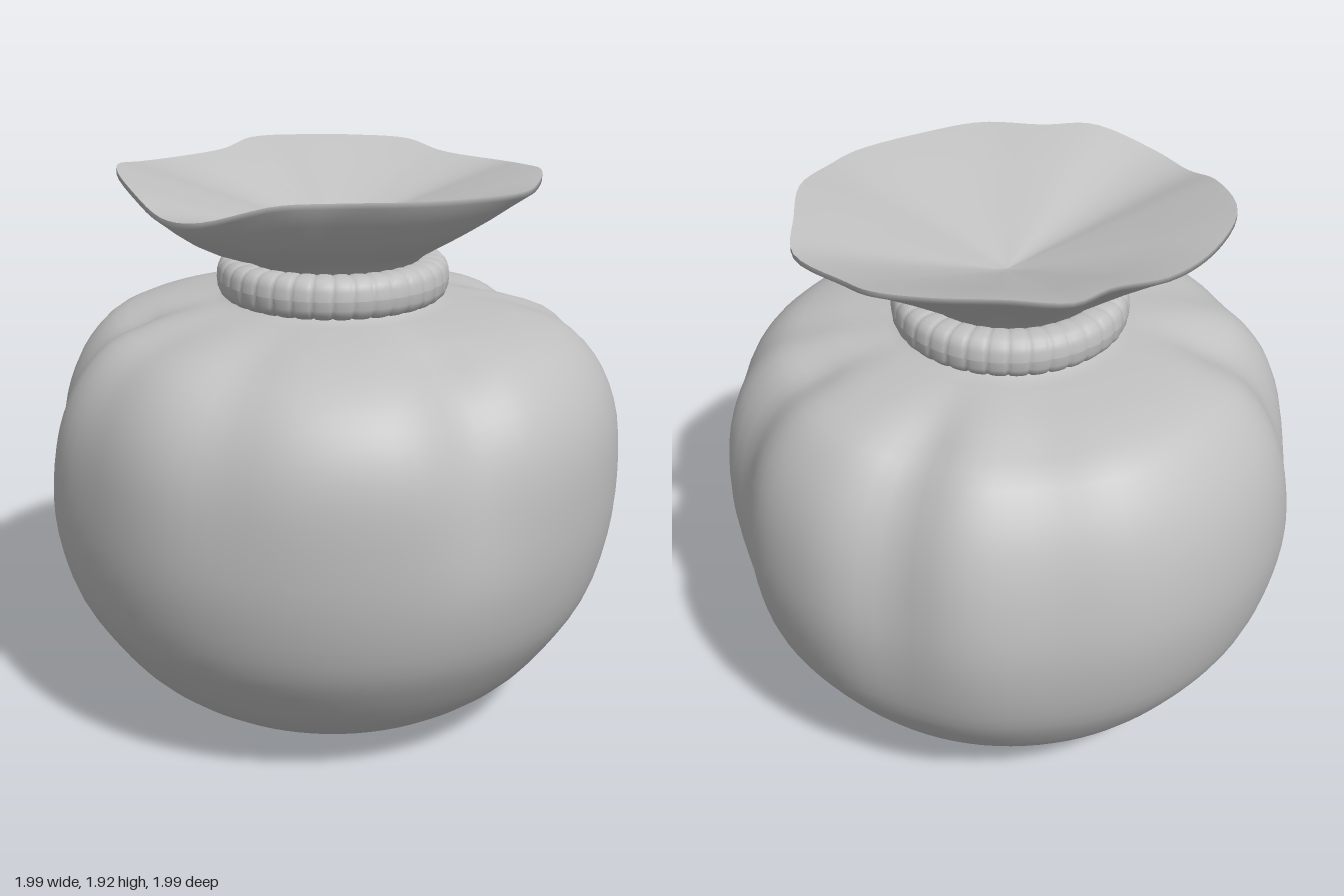
import * as THREE from 'three';

const V = (x, y, z) => new THREE.Vector3(x, y, z);
const TAU = Math.PI * 2;
const { lerp, smoothstep, radToDeg } = THREE.MathUtils;

// Closed surface of rings: at(i, j) gives the point on ring i, step j around (front towards +x)
function loft(rings, around, at) {
  const pos = [], index = [];
  for (let i = 0; i < rings; i++) {
    for (let j = 0; j < around; j++) {
      pos.push(...at(i, j).toArray());
      if (i === rings - 1) continue;
      const k = (j + 1) % around;
      const a = i * around + j, b = i * around + k;
      index.push(a, b, b + around, a, b + around, a + around);
    }
  }
  const geo = new THREE.BufferGeometry();
  geo.setAttribute('position', new THREE.Float32BufferAttribute(pos, 3));
  geo.setIndex(index);
  geo.computeVertexNormals();
  return geo;
}

// Creases pressed into the cloth below the neck: [angle in degrees, depth, width in degrees, lowest height]
const folds = [
  [28, 0.05, 9, 0.65], [97, 0.02, 8, 0.8], [120, 0.06, 10, 0.1], [168, 0.06, 9, 0.2],
  [198, 0.035, 11, 0.1], [275, 0.065, 11, 0.6], [305, 0.02, 10, 0.6], [338, 0.025, 9, 0.7],
];

function foldDepth(angle, y) {
  const deg = radToDeg(angle);
  let depth = 0;
  for (const [at, d, w, low] of folds) {
    const off = ((deg - at + 540) % 360) - 180;
    depth += d * Math.exp(-((off / w) ** 2)) * smoothstep(y, low, 1.25);
  }
  return depth * (1 - smoothstep(y, 1.42, 1.48));
}

// Body profile as radius and height, starting at the middle of the underside
const profile = new THREE.CatmullRomCurve3([
  [0, 0], [0.2, 0], [0.38, 0.002], [0.55, 0.07], [0.73, 0.2], [0.85, 0.35], [0.935, 0.5], [0.99, 0.72],
  [1.0, 0.92], [0.975, 1.12], [0.91, 1.27], [0.80, 1.385], [0.64, 1.44], [0.46, 1.465], [0.36, 1.48],
  [0.31, 1.53], [0.29, 1.63],
].map(([r, y]) => V(r, y, 0)));

// Wavy rim of the opening, running from the front towards +x
const rim = new THREE.CatmullRomCurve3([
  [0, 1.91, 0.62], [0.22, 1.91, 0.60], [0.40, 1.90, 0.50], [0.60, 1.89, 0.33], [0.66, 1.89, 0.20],
  [0.70, 1.905, 0], [0.66, 1.89, -0.20], [0.60, 1.87, -0.40], [0.40, 1.88, -0.55], [0.28, 1.91, -0.65],
  [0.10, 1.92, -0.67], [-0.10, 1.925, -0.65], [-0.30, 1.92, -0.62], [-0.40, 1.90, -0.47],
  [-0.55, 1.89, -0.36], [-0.66, 1.90, -0.20], [-0.72, 1.925, 0.03], [-0.63, 1.89, 0.33],
  [-0.52, 1.84, 0.50], [-0.40, 1.85, 0.61], [-0.17, 1.91, 0.66],
].map(p => V(...p)), true);

export function createModel() {
  const group = new THREE.Group();
  const cloth = new THREE.MeshStandardMaterial({ color: 0xc0c0c0, side: THREE.DoubleSide });
  cloth.name = 'grey cloth';
  const add = (name, geo) => {
    const mesh = new THREE.Mesh(geo, cloth);
    mesh.name = name;
    group.add(mesh);
  };

  // Round, stuffed body with folds gathered towards the neck, its shoulders leaning slightly forward
  const rings = 50, around = 96;
  add('sackBody', loft(rings, around, (i, j) => {
    const a = j / around * TAU;
    const { x: r, y } = profile.getPoint(i / (rings - 1));
    const s = 1 - foldDepth(a, y);
    const lean = smoothstep(y, 0.8, 1.25) * (1 - smoothstep(y, 1.3, 1.47));
    return V(
      r * s * Math.sin(a) + 0.006 * lean,
      y > 0.75 ? 0.75 + (y - 0.75) * s : Math.max(0, y),
      r * s * Math.cos(a) + 0.018 * lean);
  }));

  // Ridged cord around the neck
  const ridges = 36, steps = ridges * 8, section = 20;
  add('neckTie', loft(section + 1, steps, (i, j) => {
    const a = j / steps * TAU, b = i / section * TAU;
    const groove = 0.92 + 0.08 * Math.abs(Math.sin(a * ridges / 2)) ** 0.35;
    const soft = v => Math.sign(v) * Math.abs(v) ** 0.75;
    const r = 0.325 + 0.073 * groove * soft(Math.cos(b));
    return V(r * Math.sin(a), 1.548 + 0.073 * groove * soft(Math.sin(b)), r * Math.cos(a));
  }));

  // Flared opening, outside: spread and rise from neck to rim, sagging lower at the front
  const flare = [[0, 0], [0.1, 0.14], [0.24, 0.28], [0.4, 0.44], [0.56, 0.6], [0.72, 0.75], [0.87, 0.89], [1, 1]];
  const rimPoint = j => rim.getPoint(j / around);
  add('flareOutside', loft(flare.length + 1, around, (i, j) => {
    const p = rimPoint(j);
    if (i === flare.length) return p;
    const [f, h] = flare[i];
    const a = Math.atan2(p.x, p.z);
    const sag = 0.28 * Math.sin(Math.PI * f) * smoothstep(Math.cos(a), 0.2, 0.9);
    return V(
      lerp(0.285 * Math.sin(a), p.x, f),
      lerp(1.60, p.y - 0.018, h * (1 - sag)),
      lerp(0.285 * Math.cos(a), p.z, f));
  }));

  // Flared opening, inside: shallow funnel down to a gathered centre
  const funnel = [[1, 1], [0.85, 0.87], [0.68, 0.68], [0.5, 0.49], [0.33, 0.31], [0.18, 0.16], [0.07, 0.04], [0, 0]];
  add('flareInside', loft(funnel.length, around, (i, j) => {
    const p = rimPoint(j), [f, h] = funnel[i];
    return V(p.x * f, lerp(1.69, p.y, h), lerp(-0.04, p.z, f));
  }));

  return group;
}
